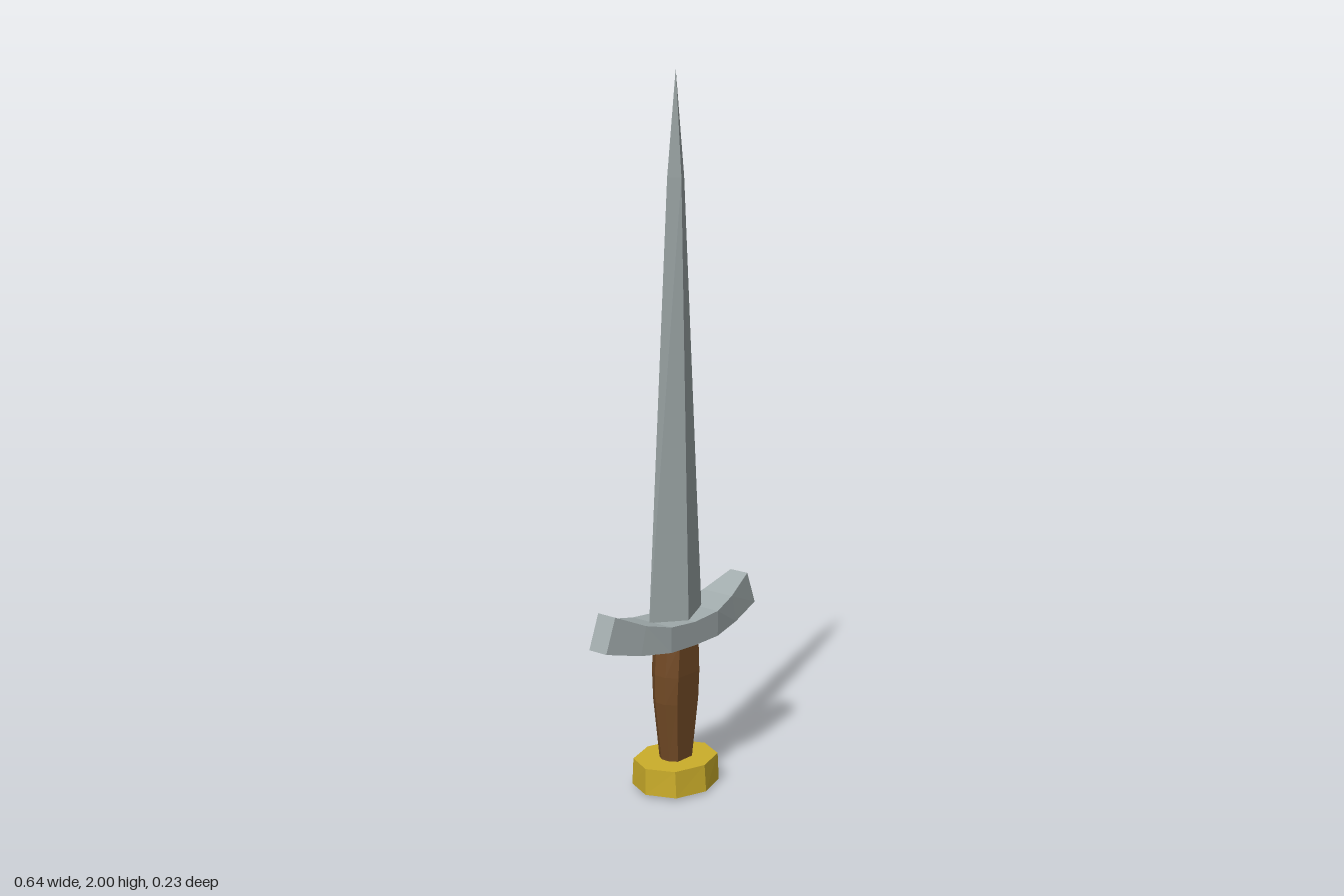
import * as THREE from 'three';

const material = (name, color) => {
  const m = new THREE.MeshStandardMaterial({ color });
  m.name = name;
  return m;
};

// Skin a list of equal-length rings of [x, y, z] points with flat faces and closed ends.
function loft(rings) {
  const pos = [];
  const n = rings[0].length;
  const tri = (a, b, c) => pos.push(...a, ...b, ...c);
  for (let r = 0; r < rings.length - 1; r++) {
    for (let i = 0; i < n; i++) {
      const j = (i + 1) % n;
      const lo = rings[r], hi = rings[r + 1];
      tri(lo[i], lo[j], hi[j]);
      tri(lo[i], hi[j], hi[i]);
    }
  }
  const first = rings[0], last = rings[rings.length - 1];
  for (let i = 1; i < n - 1; i++) {
    tri(first[0], first[i + 1], first[i]);
    tri(last[0], last[i], last[i + 1]);
  }
  const g = new THREE.BufferGeometry();
  g.setAttribute('position', new THREE.Float32BufferAttribute(pos, 3));
  g.computeVertexNormals();
  return g;
}

// Horizontal ring: a unit outline scaled to half-width w and half-depth d at height y.
const ringAt = (outline, y, w, d) => outline.map(([x, z]) => [x * w, y, z * d]);

export function createModel() {
  const steel = material('steel', 0xa2acad);
  const wood = material('wood', 0x734b26);
  const gold = material('gold', 0xccae2a);

  const group = new THREE.Group();
  group.name = 'dagger';
  const add = (name, geometry, mat) => {
    const mesh = new THREE.Mesh(geometry, mat);
    mesh.name = name;
    group.add(mesh);
  };

  // Blade: diamond section narrowing to a point
  const diamond = [[1, 0], [0, -1], [-1, 0], [0, 1]];
  add('blade', loft([
    ringAt(diamond, 0.48, 0.114, 0.048),
    ringAt(diamond, 1.72, 0.035, 0.02),
    ringAt(diamond, 2.0, 0.0005, 0.0005),
  ]), steel);

  // Guard: upswept bar, thinner toward the ends; [bottom x, bottom y, top x, top y, half-depth]
  const half = [
    [0.1, 0.433, 0.1, 0.506, 0.071],
    [0.205, 0.447, 0.185, 0.527, 0.053],
    [0.32, 0.475, 0.284, 0.57, 0.031],
  ];
  const stations = [
    ...half.map(([bx, by, tx, ty, d]) => [-bx, by, -tx, ty, d]).reverse(),
    [0, 0.43, 0, 0.498, 0.071],
    ...half,
  ];
  add('guard', loft(stations.map(([bx, by, tx, ty, d]) => [
    [bx, by, d], [bx, by, -d], [tx, ty, -d], [tx, ty, d],
  ])), steel);

  // Grip: chamfered section, swelling toward the guard
  const chamfered = [
    [1, 0.4], [1, -0.4], [0.68, -1], [-0.68, -1],
    [-1, -0.4], [-1, 0.4], [-0.68, 1], [0.68, 1],
  ];
  add('grip', loft([
    [0, 0.04, 0.031],
    [0.09, 0.046, 0.035],
    [0.26, 0.067, 0.045],
    [0.34, 0.067, 0.049],
    [0.44, 0.059, 0.05],
  ].map(([y, w, d]) => ringAt(chamfered, y, w, d))), wood);

  // Pommel: eight-sided disc
  const octagon = [
    [1, 0], [0.72, -0.73], [0, -1], [-0.72, -0.73],
    [-1, 0], [-0.72, 0.73], [0, 1], [0.72, 0.73],
  ];
  add('pommel', loft([
    ringAt(octagon, 0.008, 0.13, 0.113),
    ringAt(octagon, 0.085, 0.13, 0.107),
  ]), gold);

  return group;
}
